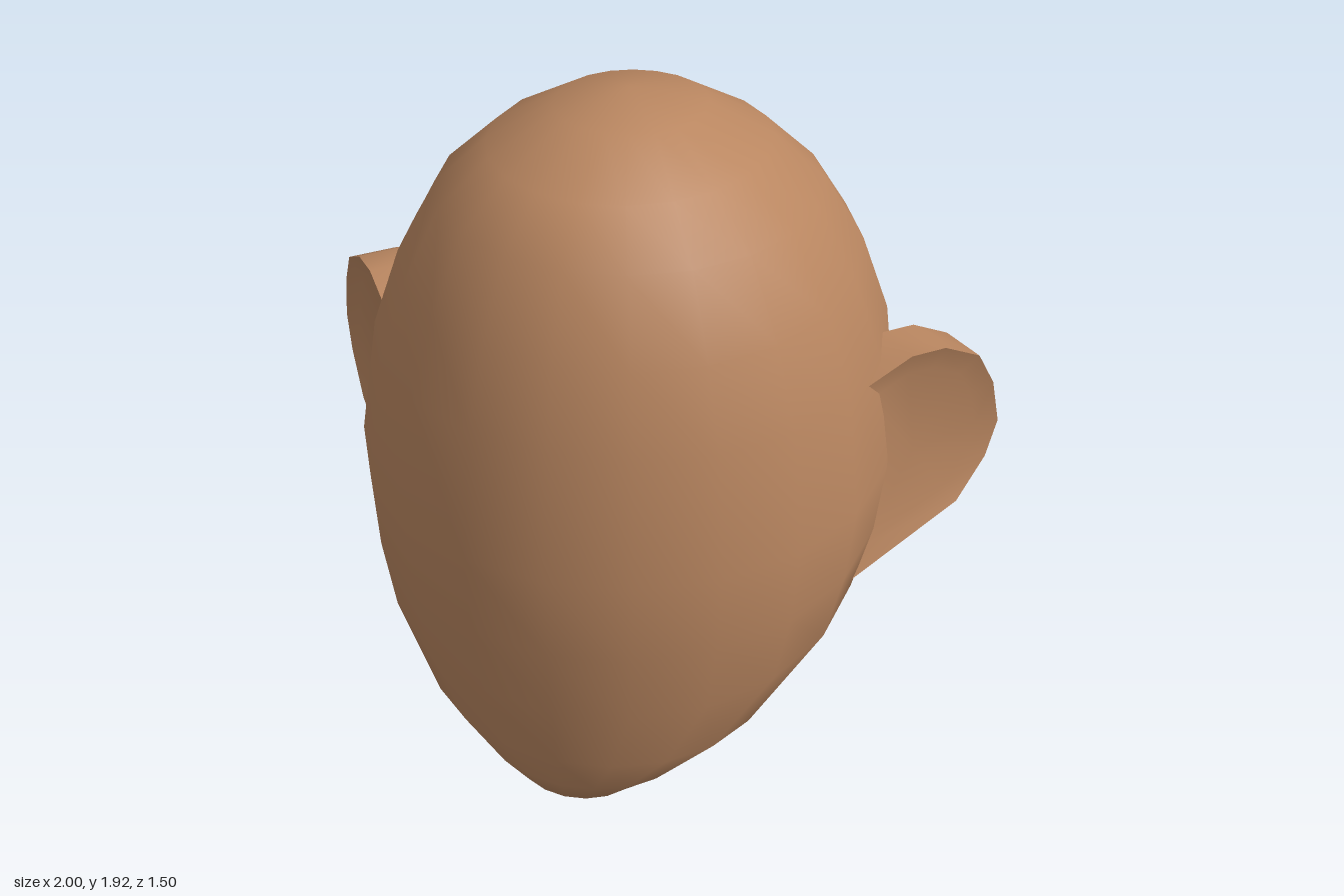
import * as THREE from 'three';
import { mergeVertices, toCreasedNormals } from 'three/addons/utils/BufferGeometryUtils.js';

// Skin a list of closed rings (arrays of Vector3) into one smooth surface.
function loft(rings) {
  const n = rings[0].length;
  const index = [];
  for (let i = 0; i < rings.length - 1; i++) {
    for (let j = 0; j < n; j++) {
      const k = (j + 1) % n;
      const a = i * n + j, b = i * n + k, c = a + n, d = b + n;
      index.push(a, c, d, a, d, b);
    }
  }
  const geometry = new THREE.BufferGeometry().setFromPoints(rings.flat());
  geometry.setIndex(index);
  const merged = mergeVertices(geometry, 1e-4);
  merged.computeVertexNormals();
  return merged;
}

// Each head ring: half width, side z, side y, front z, front y, back z, back y.
const HEAD_RINGS = [
  [0, 0, 1.92, 0, 1.92, 0, 1.92],
  [0.2, 0, 1.875, 0.22, 1.89, -0.24, 1.86],
  [0.37, 0, 1.78, 0.43, 1.8, -0.42, 1.75],
  [0.51, 0, 1.65, 0.56, 1.68, -0.59, 1.59],
  [0.62, 0, 1.45, 0.65, 1.46, -0.67, 1.45],
  [0.7, 0, 1.22, 0.71, 1.24, -0.73, 1.26],
  [0.745, 0.03, 0.9, 0.755, 0.87, -0.75, 0.98],
  [0.725, 0.05, 0.7, 0.745, 0.62, -0.68, 0.69],
  [0.68, 0.09, 0.52, 0.72, 0.4, -0.48, 0.56],
  [0.5, 0.3, 0.26, 0.692, 0.2, -0.31, 0.45],
  [0.31, 0.43, 0.105, 0.66, 0.08, -0.27, 0.4],
  [0.2, 0.47, 0.045, 0.63, 0.01, -0.25, 0.375],
  [0.17, 0.4, 0.06, 0.55, 0, -0.24, 0.365],
  [0.19, 0.2, 0.15, 0.36, 0.05, -0.235, 0.36],
  [0.21, -0.03, 0.29, 0.16, 0.17, -0.23, 0.36], // open neck edge
];

function headRing([w, sz, sy, fz, fy, bz, by]) {
  const sides = 20;
  return Array.from({ length: sides }, (_, j) => {
    const a = (j / sides) * Math.PI * 2;
    const c = Math.cos(a);
    const t = c > 0 ? c : Math.pow(-c, 0.88);
    const z = c > 0 ? fz : bz, y = c > 0 ? fy : by;
    return new THREE.Vector3(w * Math.sin(a), sy + (y - sy) * t, sz + (z - sz) * t);
  });
}

// Ear outline: distance out from the head, height.
const EAR_OUTLINE = [
  [-0.11, 1.19], [0.05, 1.235], [0.17, 1.22], [0.3, 1.15], [0.365, 1.04],
  [0.4, 0.9], [0.365, 0.79], [0.27, 0.67], [-0.11, 0.55],
];
// Ear layers from back to front: scale of the outline, depth behind the front face.
const EAR_LAYERS = [[0, 0.14], [0.85, 0.145], [1, 0.14], [1, 0], [0.78, 0.025], [0, 0.02]];

function earGeometry(side) {
  const outline = side > 0 ? EAR_OUTLINE : [...EAR_OUTLINE].reverse();
  const rings = EAR_LAYERS.map(([s, depth]) => outline.map(([u, y]) => {
    const su = 0.1 + (u - 0.1) * s;
    const x = 0.75 + 0.625 * su - 0.76 * depth;
    const z = 0.02 - 0.78 * su - 0.67 * depth;
    return new THREE.Vector3(side * x, 0.9 + (y - 0.9) * s, z);
  }));
  return toCreasedNormals(loft(rings), 0.9);
}

export function createModel() {
  const model = new THREE.Group();
  model.name = 'head';
  const skin = new THREE.MeshStandardMaterial({ color: 0xb98660, side: THREE.DoubleSide });
  skin.name = 'skin';

  const add = (name, geometry) => {
    const mesh = new THREE.Mesh(geometry, skin);
    mesh.name = name;
    model.add(mesh);
  };

  // Skull, face and jaw, open at the neck
  add('skull', loft(HEAD_RINGS.map(headRing)));

  // Swept-back ears
  add('leftEar', earGeometry(1));
  add('rightEar', earGeometry(-1));

  return model;
}
